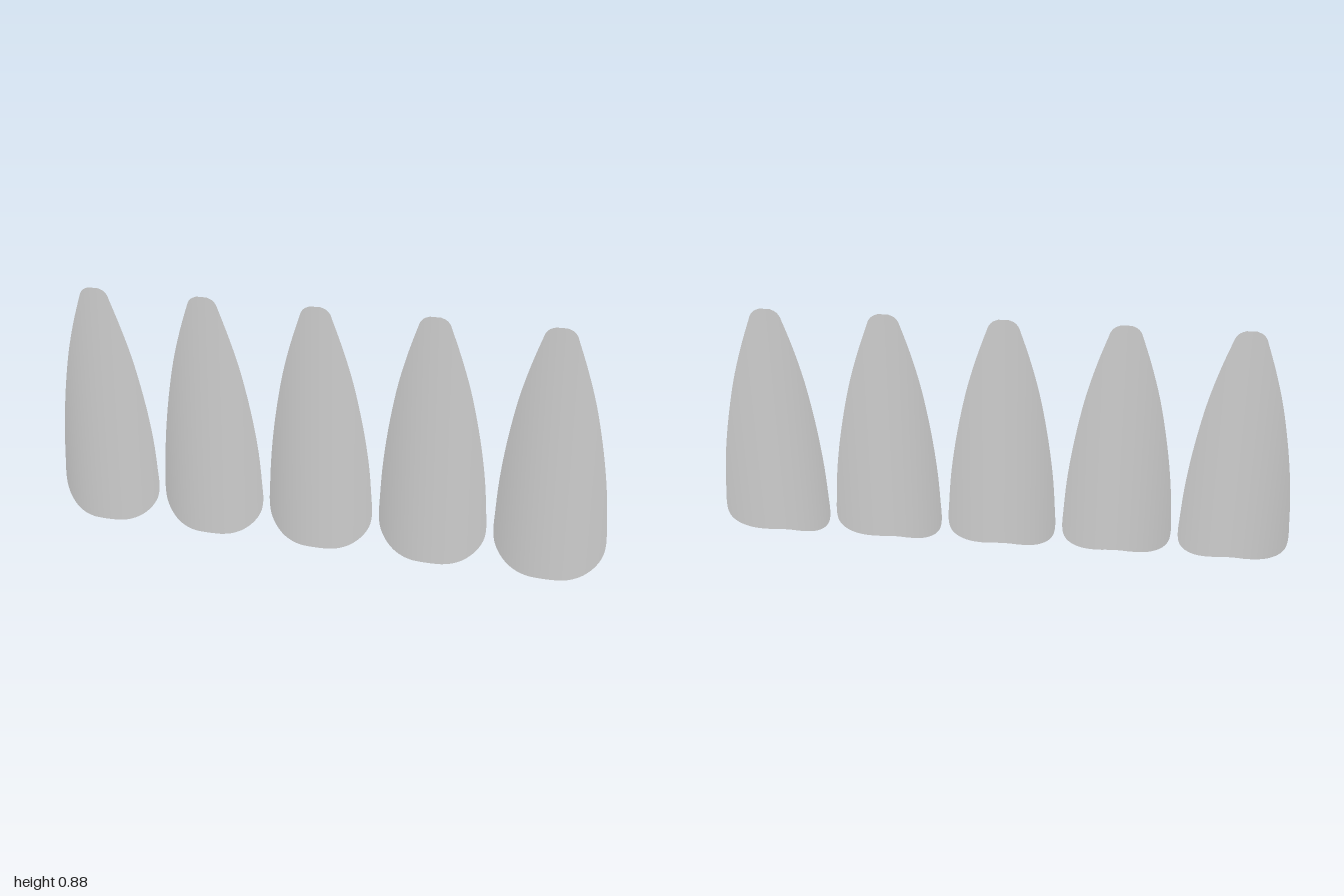
import * as THREE from 'three';

const SPACING = 0.405, RADIUS = 0.331, CREST = 0.03;

// Half outline of one nail: (half width, height), bottom to tip
const OUTLINE = [
  [0.05, 0], [0.085, 0.005], [0.125, 0.02], [0.16, 0.048], [0.182, 0.083], [0.19, 0.125],
  [0.187, 0.2], [0.179, 0.31], [0.165, 0.42], [0.146, 0.53], [0.122, 0.64], [0.09, 0.75],
  [0.057, 0.845], [0.05, 0.863], [0.037, 0.877], [0.018, 0.885],
].map(([x, y]) => new THREE.Vector3(x, y, 0));

// Thin sheet bent around a vertical axis and trimmed to the outline
function nailGeometry() {
  const rows = new THREE.CatmullRomCurve3(OUTLINE, false, 'centripetal').getPoints(60);
  const cols = 20, positions = [], normals = [], index = [];
  rows.forEach((p, r) => {
    for (let c = 0; c <= cols; c++) {
      const x = p.x * (2 * c / cols - 1);
      const depth = Math.sqrt(RADIUS * RADIUS - x * x);
      positions.push(x, p.y, CREST - RADIUS + depth);
      normals.push(x / RADIUS, 0, depth / RADIUS);
      if (r && c) {
        const d = r * (cols + 1) + c, b = d - cols - 1;
        index.push(b - 1, b, d, b - 1, d, d - 1);
      }
    }
  });
  const g = new THREE.BufferGeometry();
  g.setAttribute('position', new THREE.Float32BufferAttribute(positions, 3));
  g.setAttribute('normal', new THREE.Float32BufferAttribute(normals, 3));
  g.setIndex(index);
  return g;
}

export function createModel() {
  const group = new THREE.Group();
  group.name = 'nailSet';
  const geometry = nailGeometry();
  const material = new THREE.MeshStandardMaterial({ color: 0xcccccc, side: THREE.DoubleSide });
  // Row of five identical nails
  for (let i = -2; i <= 2; i++) {
    const nail = new THREE.Mesh(geometry, material);
    nail.name = `nail${i + 3}`;
    nail.position.x = i * SPACING;
    group.add(nail);
  }
  return group;
}
